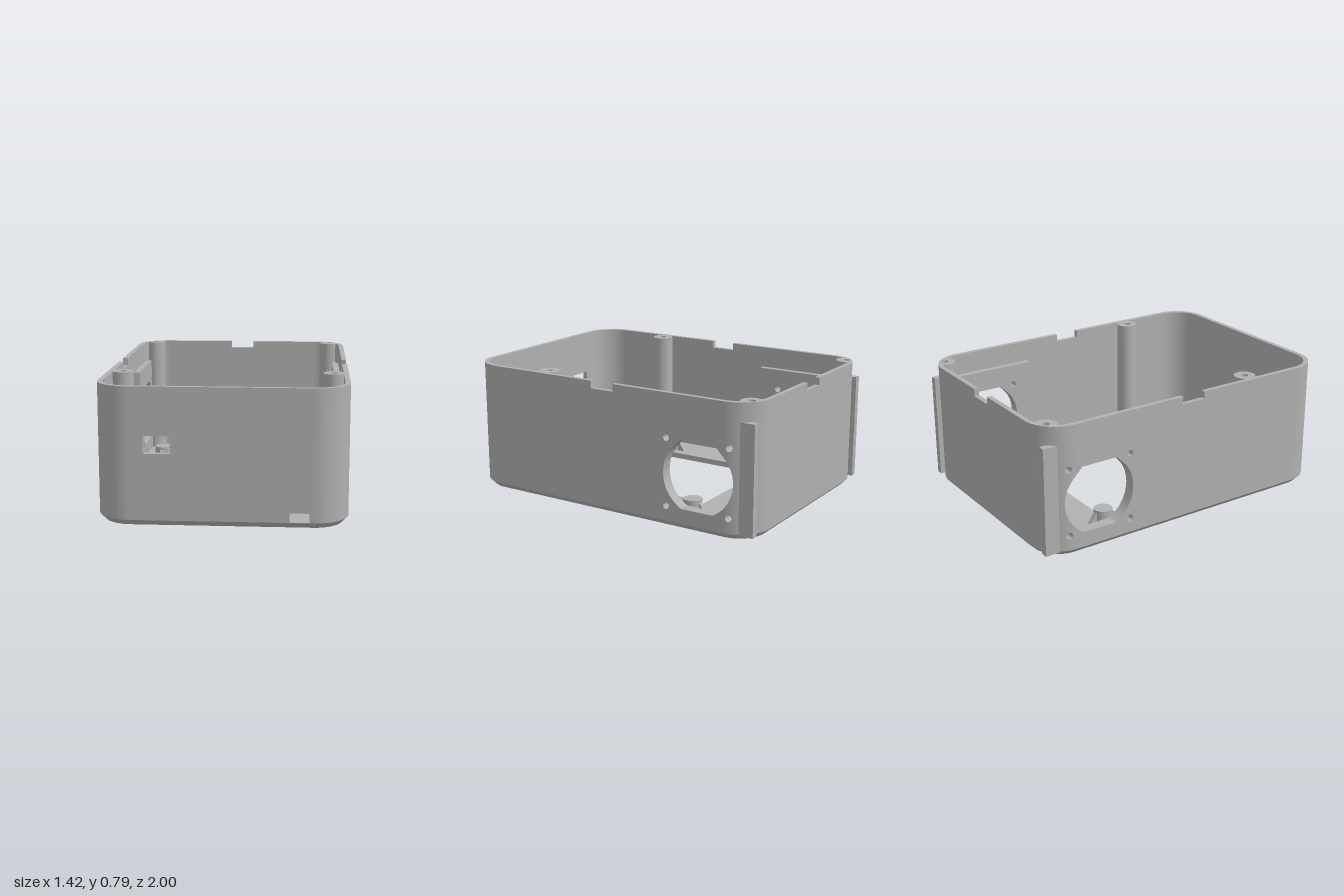
import * as THREE from 'three';
import { toCreasedNormals } from 'three/addons/utils/BufferGeometryUtils.js';

const W = 0.71, D = 1, R = 0.2, T = 0.03;    // half width, half depth, corner radius, wall
const CX = W - R, CZ = D - R;                // corner centres
const FLOOR = 0.035, TOP = 0.79, NOTCH = 0.745;

export function createModel() {
  const group = new THREE.Group();
  const grey = new THREE.MeshStandardMaterial({ color: 0xb0b0b0 });
  grey.name = 'grey plastic';

  const add = (name, geo) => {
    const mesh = new THREE.Mesh(geo, grey);
    mesh.name = name;
    group.add(mesh);
  };

  // Mirrored copy across x = 0 with the corner order put right
  const mirror = (geo) => {
    const g = geo.index ? geo.toNonIndexed() : geo.clone();
    g.scale(-1, 1, 1);
    for (const a of Object.values(g.attributes)) {
      const n = a.itemSize;
      for (let i = 0; i < a.count; i += 3) {
        for (let k = 0; k < n; k++) {
          const p = (i + 1) * n + k, q = (i + 2) * n + k, t = a.array[p];
          a.array[p] = a.array[q];
          a.array[q] = t;
        }
      }
    }
    return g;
  };
  const pair = (name, geo) => {
    add('left' + name, geo);
    add('right' + name, mirror(geo));
  };

  const box = (x0, x1, y0, y1, z0, z1) =>
    new THREE.BoxGeometry(x1 - x0, y1 - y0, z1 - z0)
      .translate((x0 + x1) / 2, (y0 + y1) / 2, (z0 + z1) / 2);
  const circle = (x, y, r) => new THREE.Path().absarc(x, y, r, 0, Math.PI * 2, true);
  const rect = (x0, x1, y0, y1, P = THREE.Path) => new P([
    [x0, y0], [x1, y0], [x1, y1], [x0, y1]].map(([x, y]) => new THREE.Vector2(x, y)));
  // Plan shape (x, -z) raised from y0 to y1
  const raise = (shape, y0, y1) => new THREE.ExtrudeGeometry(shape,
    { depth: y1 - y0, bevelEnabled: false, curveSegments: 16 })
    .rotateX(-Math.PI / 2).translate(0, y0, 0);
  const smooth = (geo) => toCreasedNormals(geo, 0.5);

  // Floor plate with openings and a chamfered lower edge
  const boards = [[0.515, -0.5], [0.515, 0.3], [0.25, 0.49], [0.25, 0.84]];
  const plan = new THREE.Shape();
  plan.absarc(CX, CZ, R, 0, Math.PI / 2, false);
  plan.absarc(-CX, CZ, R, Math.PI / 2, Math.PI, false);
  plan.absarc(-CX, -CZ, R, Math.PI, Math.PI * 1.5, false);
  plan.absarc(CX, -CZ, R, Math.PI * 1.5, Math.PI * 2, false);
  plan.holes.push(rect(-0.44, 0.44, -0.26, 0.47), rect(-0.08, 0.08, 0.87, 0.937),
    rect(0.29, 0.59, -0.82, -0.765), circle(0, -0.67, 0.24));
  for (const s of [-1, 1]) {
    plan.holes.push(circle(s * 0.11, 0.905, 0.02), circle(s * 0.615, 0.93, 0.022),
      circle(s * 0.625, -0.45, 0.022));
    for (const [x, z] of boards) plan.holes.push(circle(s * x, -z, 0.018));
  }
  const floor = raise(plan, 0, FLOOR);
  const pos = floor.attributes.position;
  for (let i = 0; i < pos.count; i++) {
    if (pos.getY(i) > 0.01) continue;
    const x = pos.getX(i), z = pos.getZ(i);
    const cx = THREE.MathUtils.clamp(x, -CX, CX), cz = THREE.MathUtils.clamp(z, -CZ, CZ);
    const d = Math.hypot(x - cx, z - cz);
    const k = d > 0.195 ? 0.165 / d : d > 0.155 ? 0.155 / d : 1;
    pos.setXYZ(i, cx + (x - cx) * k, 0, cz + (z - cz) * k);
  }
  add('floor', smooth(floor));
  add('strapBridge', box(0.315, 0.565, 0.02, FLOOR, 0.76, 0.825));

  // Wall section drilled by a teardrop port and four bolt holes
  const port = { z: -0.645, y: 0.325, r: 0.225 };
  const levels = (z, y0, y1) => {
    const d = Math.abs(z - port.z);
    const half = Math.sqrt(Math.max(0, port.r ** 2 - d * d));
    const peak = d < port.r * Math.SQRT1_2 ? port.r * Math.SQRT2 - d : half;
    const e = Math.min(Math.abs(z + 0.44), Math.abs(z + 0.845));
    const b = Math.sqrt(Math.max(0, 0.02 ** 2 - e * e));
    return [y0, 0.125 - b, 0.125 + b, port.y - half, port.y + peak, 0.53 - b, 0.53 + b, y1];
  };
  const drilledWall = (zStart, zEnd, y0, y1, outer, inner) => {
    const verts = [];
    const quad = (a, b, c, d) => verts.push(...a, ...b, ...c, ...a, ...c, ...d);
    const n = Math.round((zEnd - zStart) / 0.005);
    for (let i = 0; i < n; i++) {
      const za = zStart + i * 0.005, zb = za + 0.005;
      const la = levels(za, y0, y1), lb = levels(zb, y0, y1);
      for (let k = 0; k < 8; k += 2) {
        const [oa, ob, ia, ib] = [[outer, za, la], [outer, zb, lb], [inner, za, la], [inner, zb, lb]]
          .map(([f, z, l]) => [[f(z), l[k], z], [f(z), l[k + 1], z]]);
        quad(ob[0], oa[0], oa[1], ob[1]);
        quad(ia[0], ib[0], ib[1], ia[1]);
        quad(ob[1], oa[1], ia[1], ib[1]);
        quad(ib[0], ia[0], oa[0], ob[0]);
        if (i === 0) quad(oa[0], ia[0], ia[1], oa[1]);
        if (i === n - 1) quad(ib[0], ob[0], ob[1], ib[1]);
      }
    }
    const g = new THREE.BufferGeometry();
    g.setAttribute('position', new THREE.Float32BufferAttribute(verts, 3));
    g.computeVertexNormals();
    return g;
  };
  const bend = (r) => (z) => CX + Math.sqrt(r * r - Math.min(0, z + CZ) ** 2);
  pair('PortWall', drilledWall(-0.9, -0.4, FLOOR, TOP, bend(R), bend(R - T)));
  pair('PortBacking', drilledWall(-0.88, -0.31, FLOOR, 0.66, () => 0.685, () => 0.64));

  // Side and back walls with rim notches
  pair('SideWall', box(W - T, W, FLOOR, NOTCH, -0.4, CZ));
  pair('SideRimBack', box(W - T, W, NOTCH, TOP, -0.4, -0.075));
  pair('SideRimFront', box(W - T, W, NOTCH, TOP, 0.08, CZ));
  add('backWall', box(-CX, CX, FLOOR, NOTCH, -D, -D + T));
  pair('BackRim', box(0.078, CX, NOTCH, TOP, -D, -D + T));

  // Front wall with a switch opening and a cable slot
  const front = rect(-CX, CX, FLOOR, TOP, THREE.Shape);
  front.holes.push(rect(-0.43, -0.28, 0.415, 0.515), rect(0.38, 0.49, 0.037, 0.09));
  add('frontWall', new THREE.ExtrudeGeometry(front, { depth: T, bevelEnabled: false })
    .translate(0, 0, D - T));

  // Rounded corners; the back ones carry a screw post
  const frontCorner = new THREE.Shape();
  frontCorner.absarc(CX, -CZ, R, -Math.PI / 2, 0, false);
  frontCorner.absarc(CX, -CZ, R - T, 0, -Math.PI / 2, true);
  pair('FrontCorner', smooth(raise(frontCorner, FLOOR, TOP)));
  const backCorner = new THREE.Shape();
  backCorner.absarc(CX, CZ, R, Math.PI / 6, Math.PI / 2, false);
  backCorner.absarc(CX, CZ, R - T, Math.PI / 2, 1.279, true);
  backCorner.absarc(0.615, 0.93, 0.065, 2.613, 5.454, false);
  backCorner.holes.push(circle(0.615, 0.93, 0.022));
  pair('BackCorner', smooth(raise(backCorner, FLOOR, TOP)));

  // Free-standing screw posts along the sides
  const post = new THREE.Shape().absarc(0.625, -0.45, 0.065, 0, Math.PI * 2, false);
  post.holes.push(circle(0.625, -0.45, 0.022));
  pair('ScrewPost', smooth(raise(post, FLOOR, TOP)));

  // Outer rails at the back corners
  pair('Rail', box(0.643, 0.685, 0.03, 0.68, -0.99, -0.9));

  // Board standoffs with sloping ribs
  const rib = new THREE.Shape([[-0.105, FLOOR], [0.105, FLOOR], [0.045, 0.12], [-0.045, 0.12]]
    .map(([x, y]) => new THREE.Vector2(x, y)));
  for (const [x, z] of boards) {
    pair('Standoff', new THREE.CylinderGeometry(0.055, 0.055, 0.09, 32)
      .translate(x, FLOOR + 0.045, z));
    pair('StandoffRib', new THREE.ExtrudeGeometry(rib, { depth: 0.03, bevelEnabled: false })
      .rotateY(Math.PI / 2).translate(x - 0.015, 0, z));
  }

  // Hollow cone over the round floor opening
  const cone = [[0.26, FLOOR], [0.06, 0.27], [0, 0.27], [0, 0.25], [0.05, 0.25], [0.24, FLOOR]]
    .map(([r, y]) => new THREE.Vector2(r, y));
  add('cone', smooth(new THREE.LatheGeometry(cone, 64)).translate(0, 0, 0.67));

  // Corner brackets: corner x, z, then arm lengths along x and z
  const brackets = [[0.445, -0.395, 0.095, 0.085], [0.65, -0.395, -0.09, 0.085],
    [0.445, 0.195, 0.095, -0.095], [0.65, 0.195, -0.09, -0.095],
    [0.32, 0.585, 0.09, 0.095], [0.555, 0.585, -0.085, 0.095],
    [0.32, 0.89, 0.015, 0.085], [0.555, 0.89, -0.015, 0.085]];
  for (const [x, z, ax, az] of brackets) {
    const tx = Math.sign(ax) * 0.015, tz = Math.sign(az) * 0.015;
    for (const [u, v] of [[ax, tz], [tx, az]]) {
      add('bracket', box(Math.min(x, x + u), Math.max(x, x + u), FLOOR, 0.09,
        Math.min(z, z + v), Math.max(z, z + v)));
    }
  }
  return group;
}
